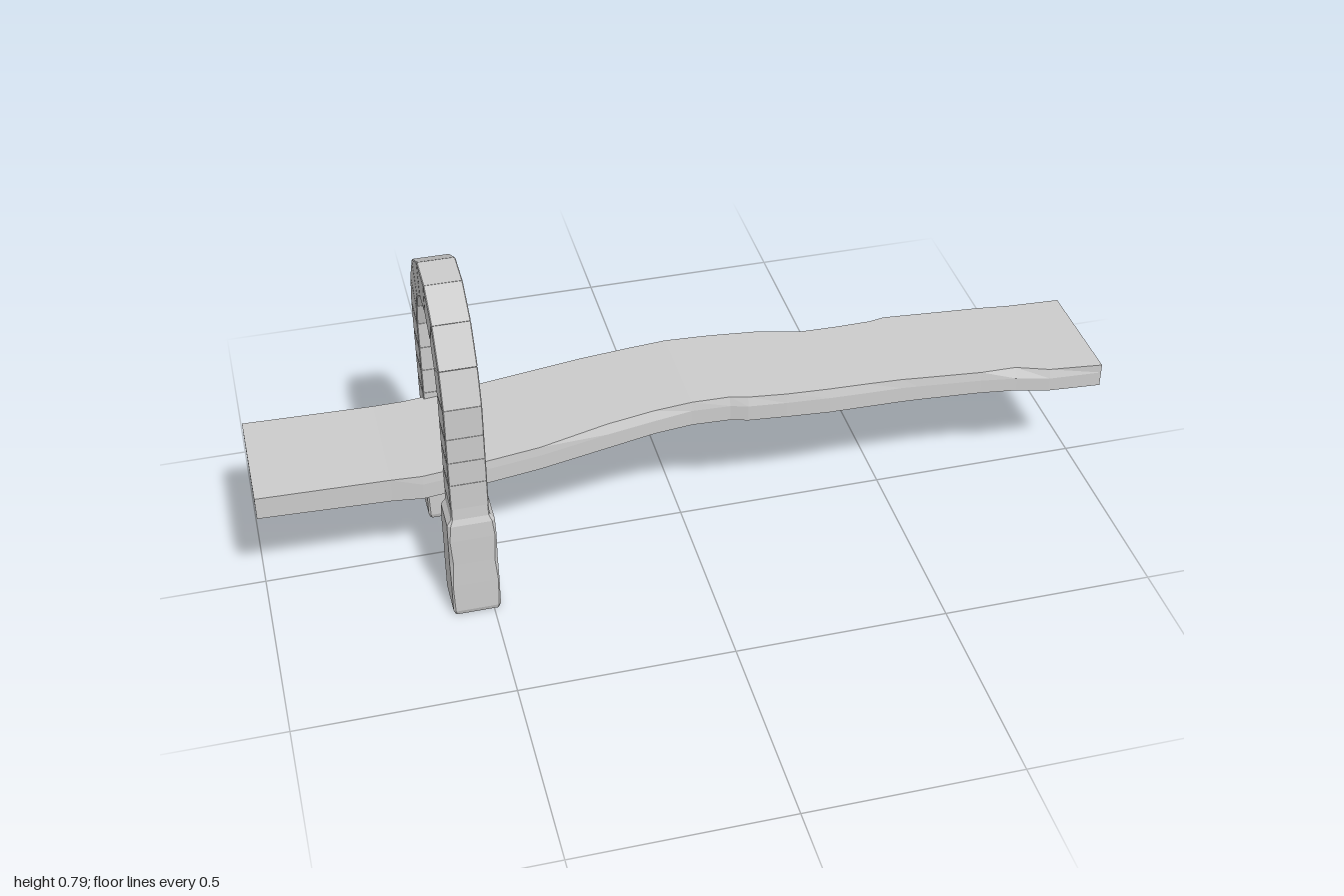
import * as THREE from 'three';

const stone = new THREE.MeshStandardMaterial({ color: 0xcccccc, flatShading: true });

// Skin a row of closed rings (counter-clockwise seen from the far end) and cap both ends
function loft(rings) {
  const pos = [];
  const tri = (...pts) => pts.forEach((p) => pos.push(...p));
  const n = rings[0].length;
  for (let k = 0; k < rings.length - 1; k++) {
    const a = rings[k], b = rings[k + 1];
    for (let i = 0; i < n; i++) {
      const j = (i + 1) % n;
      tri(a[i], a[j], b[j]);
      tri(a[i], b[j], b[i]);
    }
  }
  const first = rings[0], last = rings[rings.length - 1];
  for (let i = 1; i < n - 1; i++) {
    tri(first[0], first[i + 1], first[i]);
    tri(last[0], last[i], last[i + 1]);
  }
  const g = new THREE.BufferGeometry();
  g.setAttribute('position', new THREE.Float32BufferAttribute(pos, 3));
  g.computeVertexNormals();
  return g;
}

function add(parent, name, geometry) {
  const m = new THREE.Mesh(geometry, stone);
  m.name = name;
  parent.add(m);
  return m;
}

// Walkway slab: x, top y, bottom y, front z (top, side), back z (top, side)
const SLAB = [
  [-1, 0.353, 0.297, 0.13, 0.13, -0.15, -0.15],
  [-0.7, 0.346, 0.286, 0.13, 0.13, -0.15, -0.15],
  [-0.63, 0.349, 0.287, 0.138, 0.14, -0.147, -0.147],
  [-0.5, 0.361, 0.3, 0.138, 0.14, -0.146, -0.147],
  [-0.36, 0.376, 0.316, 0.135, 0.137, -0.149, -0.15],
  [-0.2, 0.394, 0.333, 0.112, 0.122, -0.15, -0.15],
  [-0.09, 0.403, 0.345, 0.102, 0.112, -0.15, -0.15],
  [0, 0.409, 0.347, 0.1, 0.104, -0.15, -0.15],
  [0.09, 0.409, 0.347, 0.102, 0.108, -0.145, -0.145],
  [0.13, 0.409, 0.347, 0.113, 0.12, -0.141, -0.142],
  [0.22, 0.409, 0.347, 0.124, 0.129, -0.131, -0.133],
  [0.32, 0.409, 0.346, 0.13, 0.136, -0.105, -0.107],
  [0.41, 0.405, 0.343, 0.128, 0.134, -0.108, -0.111],
  [0.5, 0.397, 0.335, 0.122, 0.126, -0.12, -0.122],
  [0.54, 0.392, 0.331, 0.12, 0.123, -0.134, -0.136],
  [0.7, 0.374, 0.316, 0.113, 0.116, -0.145, -0.145],
  [0.79, 0.365, 0.308, 0.103, 0.118, -0.15, -0.15],
  [0.87, 0.358, 0.301, 0.122, 0.129, -0.15, -0.15],
  [1, 0.353, 0.294, 0.13, 0.13, -0.15, -0.15],
];

function slabGeometry() {
  return loft(SLAB.map(([x, top, bot, ft, fs, bt, bs]) => [
    [x, top, ft], [x, top - 0.022, fs], [x, bot, fs],
    [x, bot, bs], [x, top - 0.022, bs], [x, top, bt],
  ]));
}

// Pier ring: rectangle with worn corners
function pierRing(y, hx, hz, c) {
  return [
    [hx - c, y, hz], [hx, y, hz - c], [hx, y, -hz + c], [hx - c, y, -hz],
    [-hx + c, y, -hz], [-hx, y, -hz + c], [-hx, y, hz - c], [-hx + c, y, hz],
  ];
}

function pierGeometry() {
  return loft([
    pierRing(0, 0.051, 0.046, 0.004),
    pierRing(0.012, 0.055, 0.05, 0.005),
    pierRing(0.09, 0.055, 0.05, 0.003),
    pierRing(0.15, 0.055, 0.049, 0.008),
    pierRing(0.22, 0.055, 0.049, 0.004),
    pierRing(0.262, 0.054, 0.048, 0.007),
    pierRing(0.276, 0.044, 0.042, 0.003),
    pierRing(0.306, 0.042, 0.04, 0.002),
  ]);
}

// Arch joints from springing to keystone: outer z, outer y, inner z, inner y
const JOINTS = [
  [0.218, 0.305, 0.137, 0.305],
  [0.218, 0.373, 0.137, 0.371],
  [0.218, 0.436, 0.137, 0.436],
  [0.218, 0.501, 0.137, 0.5],
  [0.218, 0.58, 0.137, 0.567],
  [0.191, 0.666, 0.12, 0.627],
  [0.134, 0.747, 0.087, 0.678],
  [0.047, 0.794, 0.033, 0.711],
];

// Arch block: quad in the z-y plane, extruded along x with fine bevels at the joints
function blockGeometry(a, b) {
  const depth = 0.086, bevel = 0.002;
  const shape = new THREE.Shape([
    new THREE.Vector2(-a[0], a[1]), new THREE.Vector2(-b[0], b[1]),
    new THREE.Vector2(-b[2], b[3]), new THREE.Vector2(-a[2], a[3]),
  ]);
  const g = new THREE.ExtrudeGeometry(shape, {
    depth: depth - 2 * bevel, bevelEnabled: true, bevelSegments: 1,
    bevelSize: bevel, bevelThickness: bevel, bevelOffset: -bevel - 0.0005,
  });
  g.translate(0, 0, -depth / 2 + bevel);
  g.rotateY(Math.PI / 2);
  return g;
}

export function createModel() {
  const model = new THREE.Group();
  model.name = 'stoneWalkwayWithArch';
  add(model, 'walkway', slabGeometry());

  const arch = new THREE.Group();
  arch.name = 'arch';
  arch.position.x = -0.539;
  model.add(arch);

  // Each half: pier and its voussoirs, the second half turned about the y axis
  for (const side of ['front', 'back']) {
    const half = new THREE.Group();
    half.name = side + 'ArchHalf';
    if (side === 'back') half.rotation.y = Math.PI;
    add(half, side + 'Pier', pierGeometry()).position.z = 0.177;
    for (let i = 0; i < JOINTS.length - 1; i++) {
      add(half, side + 'ArchBlock' + (i + 1), blockGeometry(JOINTS[i], JOINTS[i + 1]));
    }
    arch.add(half);
  }

  // Keystone closes the two halves
  const [oz, oy, iz, iy] = JOINTS[JOINTS.length - 1];
  add(arch, 'keystone', blockGeometry([oz, oy, iz, iy], [-oz, oy, -iz, iy]));
  return model;
}
